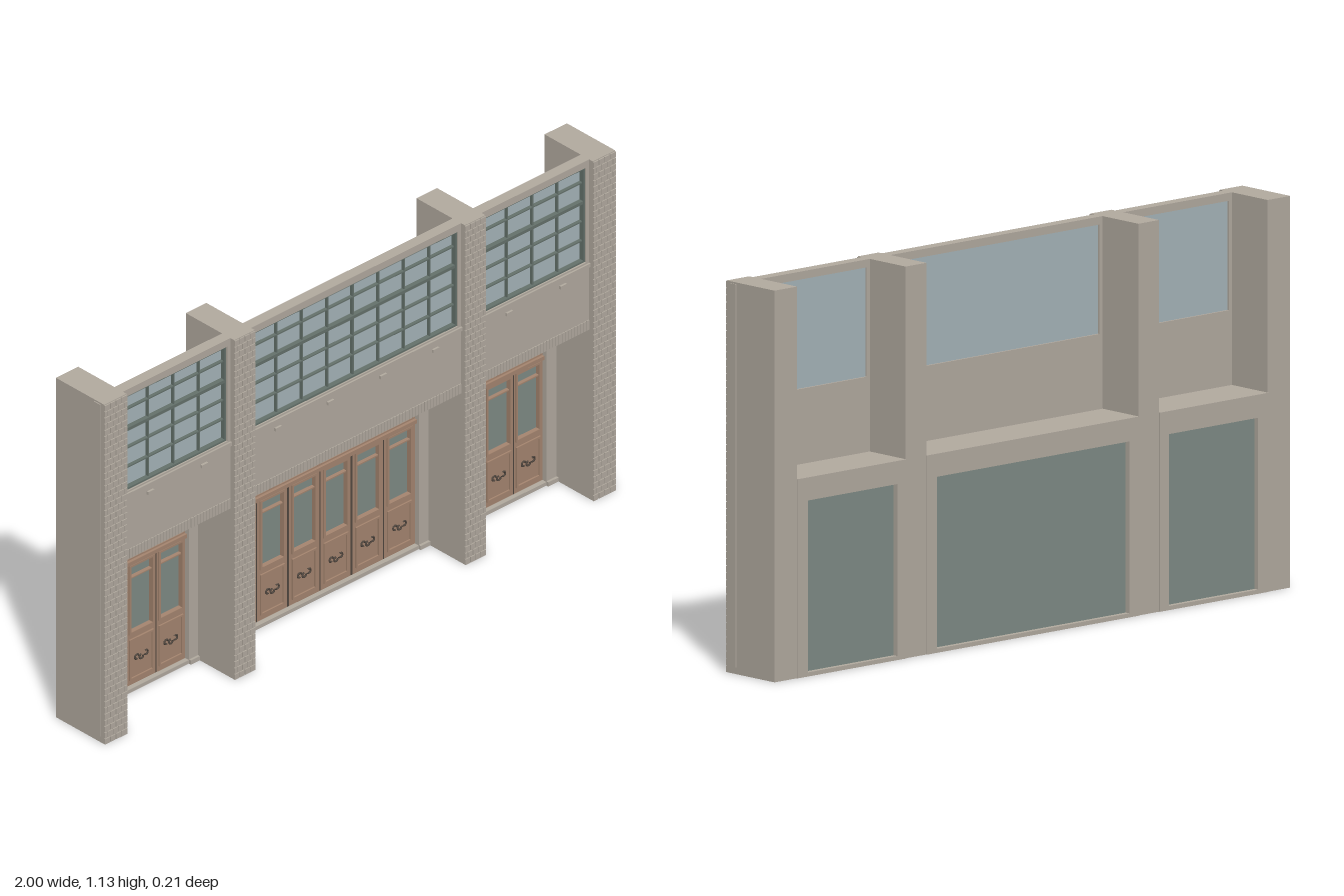
import * as THREE from 'three';
import { mergeGeometries } from 'three/addons/utils/BufferGeometryUtils.js';

const mat = (name, color) => {
  const m = new THREE.MeshStandardMaterial({ color });
  m.name = name;
  return m;
};

// Box given by its limits on each axis
function box(x0, x1, y0, y1, z0, z1) {
  const g = new THREE.BoxGeometry(x1 - x0, y1 - y0, z1 - z0);
  g.translate((x0 + x1) / 2, (y0 + y1) / 2, (z0 + z1) / 2);
  return g;
}

function rect(path, x0, x1, y0, y1) {
  path.moveTo(x0, y0);
  path.lineTo(x1, y0);
  path.lineTo(x1, y1);
  path.lineTo(x0, y1);
  path.closePath();
  return path;
}

// Flat slab with rectangular holes, each [x0, x1, y0, y1]
function panel(outer, holes, z0, z1) {
  const s = rect(new THREE.Shape(), ...outer);
  for (const h of holes) s.holes.push(rect(new THREE.Path(), ...h));
  const g = new THREE.ExtrudeGeometry(s, { depth: z1 - z0, bevelEnabled: false });
  g.translate(0, 0, z0);
  return g;
}

// Merge any mix of indexed and non-indexed geometries into one mesh
function add(parent, name, material, geos) {
  const list = [geos].flat().map((g) => (g.index ? g.toNonIndexed() : g));
  const m = new THREE.Mesh(mergeGeometries(list), material);
  m.name = name;
  parent.add(m);
}

// Ornamental scrolls for the door panels
function scroll(x, y, z) {
  return [-0.018, 0, 0.018].map((dx, i) => {
    const t = new THREE.TorusGeometry(0.0075, 0.003, 5, 10, Math.PI * 1.6);
    t.rotateZ(i * 1.7);
    t.translate(x + dx, y + (i === 1 ? -0.004 : 0.002), z);
    return t;
  });
}

export function createModel() {
  const stone = mat('stone', 0xb3aba0);
  const lightGlass = mat('light glass', 0xa7b5ba);
  const darkGlass = mat('dark glass', 0x7f8c86);
  const steel = mat('window steel', 0x65726c);
  const wood = mat('door wood', 0xa68670);
  const iron = mat('dark iron', 0x544a42);

  const model = new THREE.Group();
  model.name = 'facade';
  const H = 1.135;

  // Pillars with brick faces
  const pillars = [[-0.997, -0.91], [-0.49, -0.41], [0.41, 0.49], [0.91, 0.997]];
  pillars.forEach(([x0, x1], i) => {
    const g = new THREE.Group();
    g.name = 'pillar' + (i + 1);
    add(g, 'pillarCore', stone, box(x0, x1, 0, H, -0.1, 0.1));
    const bricks = [];
    const rows = 55, ph = H / rows, pw = (x1 - x0) / 4, joint = 0.0025;
    for (let r = 0; r < rows; r++) {
      const shift = r % 2 ? pw / 2 : 0;
      for (let c = 0; c < 5; c++) {
        const a = Math.max(x0, x0 + c * pw - shift);
        const b = Math.min(x1, x0 + (c + 1) * pw - shift);
        if (b - a > joint * 2) {
          bricks.push(box(a, b - (b < x1 ? joint : 0), r * ph, (r + 1) * ph - joint, 0.1, 0.104));
        }
      }
    }
    add(g, 'pillarBricks', stone, bricks);
    model.add(g);
  });

  // Raised strips on the outer flanks
  for (const s of [-1, 1]) {
    const x = s * 0.9985;
    add(model, 'flankStrip', stone, box(x - 0.0015, x + 0.0015, 0.02, 1.13, 0.06, 0.085));
  }

  // One bay: upper window, beam, recessed doorway
  function bay(name, x0, x1, d0, d1, leaves, transoms, cols) {
    const g = new THREE.Group();
    g.name = name;

    // Upper wall and its window
    const w0 = x0 + 0.012, w1 = x1 - 0.012, wy0 = 0.795, wy1 = 1.112;
    add(g, 'upperWall', stone, panel([x0, x1, 0.567, H], [[w0, w1, wy0, wy1]], 0.05, 0.085));
    add(g, 'windowGlass', lightGlass, box(w0, w1, wy0, wy1, 0.056, 0.064));
    const bars = [panel([w0, w1, wy0, wy1], [[w0 + 0.006, w1 - 0.006, wy0 + 0.006, wy1 - 0.006]], 0.064, 0.08)];
    for (let i = 1; i < cols; i++) {
      const x = w0 + ((w1 - w0) * i) / cols;
      const t = cols === 8 && i === 4 ? 0.003 : 0.002;
      bars.push(box(x - t, x + t, wy0, wy1, 0.064, 0.074));
    }
    for (const y of [0.866, 0.93, 0.995, 1.06]) {
      const t = y === 0.995 ? 0.005 : 0.002;
      bars.push(box(w0, w1, y - t, y + t, 0.064, y === 0.995 ? 0.079 : 0.075));
    }
    add(g, 'windowBars', steel, bars);

    // Beam trim: sill, brick course and small brackets
    add(g, 'windowSill', stone, box(x0, x1, 0.778, 0.79, 0.085, 0.091));
    const course = [];
    const n = Math.round((x1 - x0) / 0.012), step = (x1 - x0) / n;
    for (let i = 0; i < n; i++) {
      course.push(box(x0 + i * step, x0 + (i + 1) * step - 0.002, 0.568, 0.6, 0.085, 0.088));
    }
    add(g, 'brickCourse', stone, course);
    const brackets = [];
    const nb = Math.round((x1 - x0) / 0.2);
    for (let i = 0; i < nb; i++) {
      const x = x0 + ((i + 0.5) * (x1 - x0)) / nb;
      brackets.push(box(x - 0.012, x + 0.012, 0.752, 0.762, 0.085, 0.092));
    }
    add(g, 'beamBrackets', stone, brackets);

    // Recess ceiling and lower wall
    add(g, 'recessCeiling', stone, box(x0, x1, 0.567, 0.577, -0.103, 0.05));
    add(g, 'lowerWall', stone, panel([x0, x1, 0, 0.567], [[d0, d1, 0.012, 0.51]], -0.103, -0.05));
    add(g, 'jambPlinths', stone, [
      box(x0, d0, 0, 0.014, -0.05, -0.042), box(d1, x1, 0, 0.014, -0.05, -0.042)]);
    add(g, 'doorGlass', darkGlass, box(d0, d1, 0.012, 0.51, -0.088, -0.08));

    // Doors with glazed tops and a transom row
    const pitch = (d1 - d0) / leaves, tp = (d1 - d0) / transoms;
    const holes = [], trims = [], gaps = [], scrolls = [];
    for (let i = 0; i < transoms; i++) {
      holes.push([d0 + i * tp + 0.01, d0 + (i + 1) * tp - 0.01, 0.435, 0.497]);
    }
    for (let i = 0; i < leaves; i++) {
      const a = d0 + i * pitch, b = a + pitch, c = (a + b) / 2;
      const h = [c - 0.045, c + 0.045, 0.187, 0.41];
      holes.push(h);
      trims.push(panel([h[0] - 0.004, h[1] + 0.004, h[2] - 0.004, h[3] + 0.004],
        [[h[0] + 0.003, h[1] - 0.003, h[2] + 0.003, h[3] - 0.003]], -0.066, -0.061));
      trims.push(box(h[0], h[1], 0.364, 0.368, -0.08, -0.068));
      trims.push(panel([c - 0.047, c + 0.047, 0.03, 0.165],
        [[c - 0.041, c + 0.041, 0.036, 0.159]], -0.066, -0.061));
      scrolls.push(...scroll(c, 0.097, -0.064));
      if (i > 0) {
        const t = leaves === 6 && i % 2 === 0 ? 0.0035 : 0.001;
        gaps.push(box(a - t, a + t, 0.014, 0.415, -0.066, -0.064));
      }
    }
    add(g, 'doorLeaves', wood, panel([d0, d1, 0.012, 0.51], holes, -0.08, -0.066));
    add(g, 'doorMouldings', wood, [...trims, box(d0, d1, 0.417, 0.43, -0.066, -0.058)]);
    add(g, 'doorGaps', iron, gaps);
    add(g, 'doorScrolls', iron, scrolls);
    model.add(g);
  }

  bay('leftBay', 0.49, 0.91, 0.525, 0.87, 3, 2, 4);
  bay('centreBay', -0.41, 0.41, -0.372, 0.372, 6, 4, 8);
  bay('rightBay', -0.91, -0.49, -0.87, -0.525, 3, 2, 4);
  return model;
}
